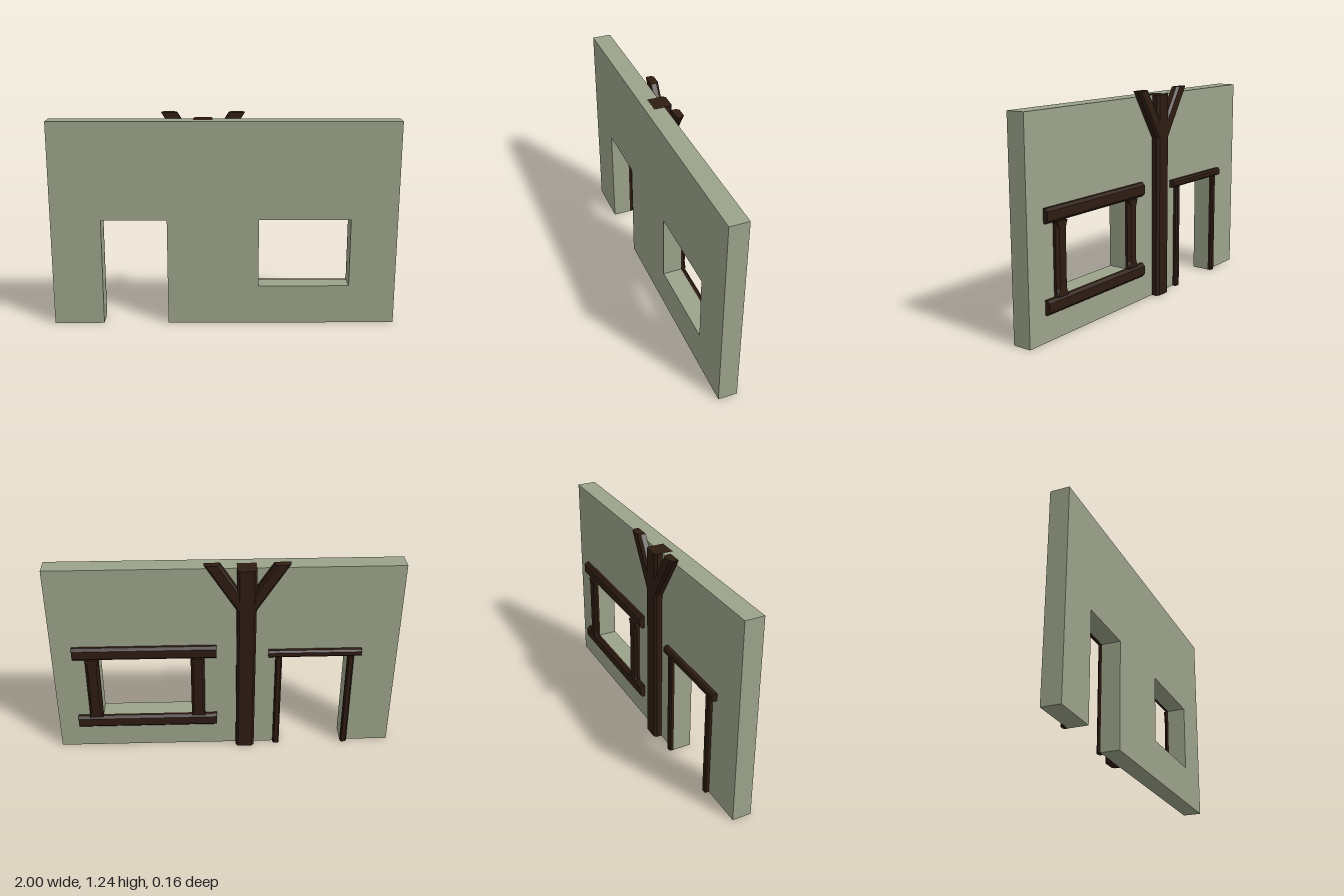
import * as THREE from 'three';

const plaster = new THREE.MeshStandardMaterial({ color: 0x9ca38a, flatShading: true });
const timber = new THREE.MeshStandardMaterial({ color: 0x2e1c12, flatShading: true });

const WALL_BACK = -0.03;

// Upright timber from y = 0 to length, with its two back edges chamfered.
// stopped: the chamfer runs out to a square corner at both ends.
function beamGeometry(width, length, back, chamfer, { front = WALL_BACK, stopped = false } = {}) {
  const w = width / 2;
  const profile = new THREE.Shape([
    [-w, -front], [w, -front], [w, -back - chamfer],
    [w - chamfer, -back], [-w + chamfer, -back], [-w, -back - chamfer],
  ].map(([x, y]) => new THREE.Vector2(x, y)));
  const geo = new THREE.ExtrudeGeometry(profile, { depth: length, steps: stopped ? 10 : 1, bevelEnabled: false });
  geo.rotateX(-Math.PI / 2);
  if (stopped) {
    const p = geo.attributes.position;
    for (let i = 0; i < p.count; i++) {
      const atEnd = p.getY(i) < 0.001 || p.getY(i) > length - 0.001;
      if (atEnd && Math.abs(p.getZ(i) - back) < 1e-4) p.setX(i, Math.sign(p.getX(i)) * w);
    }
    geo.computeVertexNormals();
  }
  return geo;
}

export function createModel() {
  const model = new THREE.Group();

  function add(parent, name, geo, material, x = 0, y = 0) {
    const mesh = new THREE.Mesh(geo, material);
    mesh.name = name;
    mesh.position.set(x, y, 0);
    parent.add(mesh);
  }
  function group(name) {
    const g = new THREE.Group();
    g.name = name;
    model.add(g);
    return g;
  }
  // Horizontal timber between x0 and x1, centred at height y
  function addRail(parent, name, x0, x1, y, height, back, chamfer) {
    const geo = beamGeometry(height, x1 - x0, back, chamfer).rotateZ(-Math.PI / 2);
    add(parent, name, geo, timber, x0, y);
  }

  // Wall with a doorway open at the floor and a window hole
  const outline = new THREE.Shape([
    [-1, 0], [-0.71, 0], [-0.71, 0.63], [-0.33, 0.63], [-0.33, 0], [1, 0], [1, 1.2], [-1, 1.2],
  ].map(([x, y]) => new THREE.Vector2(x, y)));
  outline.holes.push(new THREE.Path([
    [0.2, 0.23], [0.2, 0.63], [0.73, 0.63], [0.73, 0.23],
  ].map(([x, y]) => new THREE.Vector2(x, y))));
  const wall = new THREE.ExtrudeGeometry(outline, { depth: 0.11, bevelEnabled: false });
  wall.translate(0, 0, WALL_BACK);
  add(model, 'wall', wall, plaster);

  // Central post, let into the wall, with two slanting braces
  const post = group('postAndBraces');
  const postX = -0.12;
  add(post, 'post', beamGeometry(0.11, 1.201, -0.075, 0.014, { front: 0.03 }), timber, postX, 0);
  for (const [name, side] of [['leftBrace', 1], ['rightBrace', -1]]) {
    const slant = new THREE.Matrix4().makeShear(0, 0, 0, 0, 0, 0);
    slant.elements[4] = 0.64 * side; // x grows with y, ends stay level
    const geo = beamGeometry(0.09, 0.295, -0.074, 0.014).applyMatrix4(slant);
    geo.computeVertexNormals();
    add(post, name, geo, timber, postX + 0.004 * side, 0.94);
  }

  // Window frame: two long rails and two stiles with stopped chamfers
  const windowFrame = group('windowFrame');
  addRail(windowFrame, 'windowTopRail', 0.05, 0.88, 0.67, 0.08, -0.06, 0.015);
  addRail(windowFrame, 'windowBottomRail', 0.05, 0.88, 0.19, 0.08, -0.06, 0.015);
  for (const [name, x] of [['windowRightStile', 0.16], ['windowLeftStile', 0.77]]) {
    add(windowFrame, name, beamGeometry(0.08, 0.4, -0.06, 0.015, { stopped: true }), timber, x, 0.23);
  }

  // Door frame: lintel and two slim jambs
  const doorFrame = group('doorFrame');
  addRail(doorFrame, 'doorLintel', -0.79, -0.25, 0.652, 0.044, -0.06, 0.01);
  for (const [name, x] of [['doorRightJamb', -0.729], ['doorLeftJamb', -0.311]]) {
    add(doorFrame, name, beamGeometry(0.038, 0.63, -0.055, 0.008), timber, x, 0);
  }

  return model;
}
